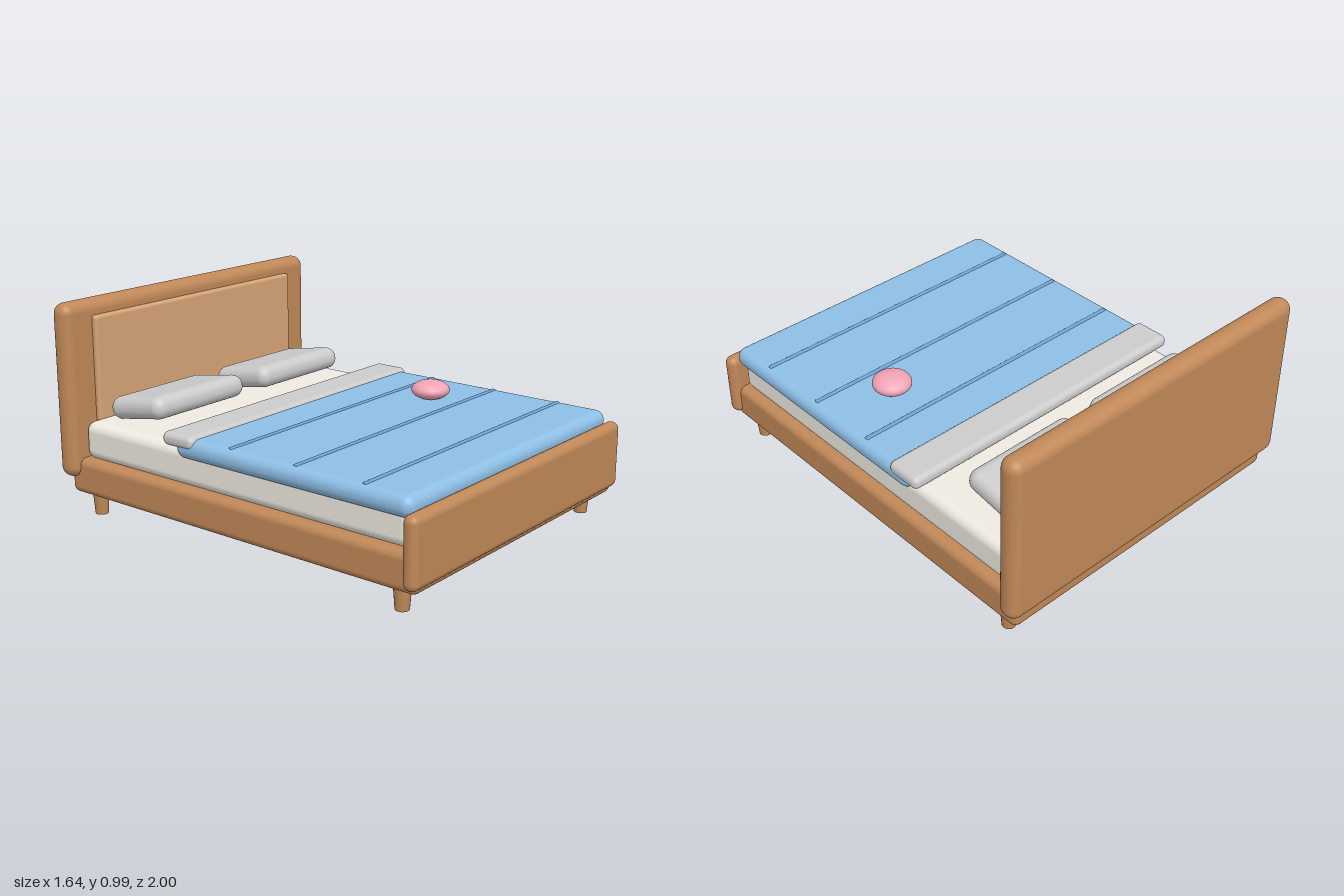
import * as THREE from 'three';
import { RoundedBoxGeometry } from 'three/addons/geometries/RoundedBoxGeometry.js';

const mat = (color) => new THREE.MeshStandardMaterial({ color });

export function createModel() {
  const bed = new THREE.Group();
  bed.name = 'bed';

  const wood = mat(0xc08858);
  const lightWood = mat(0xd6a476);
  const cream = mat(0xefebe1);
  const blue = mat(0x8ebfe6);
  const seamBlue = mat(0x6ea3d3);
  const pink = mat(0xf0a5b5);
  const grey = mat(0xcccccc);

  const add = (name, geometry, material, x, y, z) => {
    const mesh = new THREE.Mesh(geometry, material);
    mesh.name = name;
    mesh.position.set(x, y, z);
    bed.add(mesh);
    return mesh;
  };

  // Rounded slab centred on x = 0, given by its y and z limits
  const slab = (name, material, width, y0, y1, z0, z1, radius) =>
    add(name, new RoundedBoxGeometry(width, y1 - y0, z1 - z0, 5, radius), material,
      0, (y0 + y1) / 2, (z0 + z1) / 2);

  // Wooden frame
  slab('baseFrame', wood, 1.55, 0.1, 0.27, -0.965, 0.985, 0.035);
  slab('headboard', wood, 1.64, 0.18, 0.99, -1, -0.895, 0.05);
  slab('headboardPanel', lightWood, 1.33, 0.32, 0.92, -0.92, -0.87, 0.015);
  slab('footboard', wood, 1.61, 0.125, 0.435, 0.93, 1, 0.034);

  // Tapered legs
  for (const x of [-0.7, 0.7]) {
    for (const z of [-0.85, 0.87]) {
      add('leg', new THREE.CylinderGeometry(0.039, 0.03, 0.12, 20), wood, x, 0.06, z);
    }
  }

  // Bedding
  slab('mattress', cream, 1.48, 0.265, 0.44, -0.9, 0.93, 0.045);
  slab('duvet', blue, 1.535, 0.395, 0.49, -0.3, 0.947, 0.045);
  slab('foldedSheet', grey, 1.545, 0.443, 0.505, -0.365, -0.187, 0.027);

  // Quilting seams across the duvet
  for (const z of [0.005, 0.358, 0.708]) {
    slab('duvetSeam', seamBlue, 1.47, 0.479, 0.495, z - 0.011, z + 0.011, 0.006);
  }

  // Pillows, tipped up at their front edge
  for (const side of [-1, 1]) {
    const pillow = add('pillow', new RoundedBoxGeometry(0.575, 0.105, 0.335, 6, 0.05), grey,
      side * 0.35, 0.512, -0.68);
    pillow.rotation.x = -0.17;
  }

  // Flattened round cushion
  add('roundCushion', new THREE.SphereGeometry(0.09, 32, 20), pink, 0.43, 0.53, 0.2)
    .scale.set(1, 0.5, 1);

  return bed;
}
